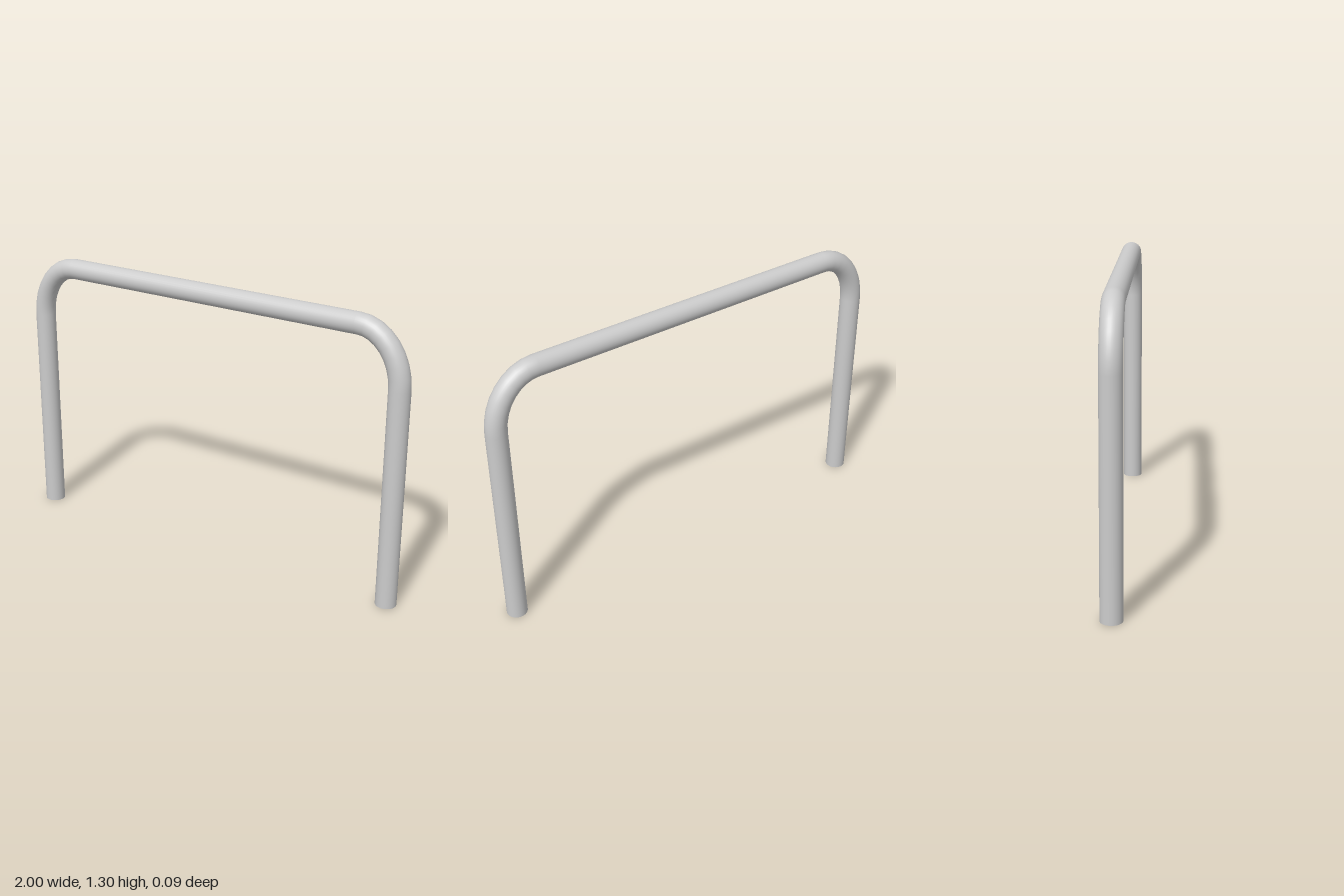
import * as THREE from 'three';

const R = 0.0475;                 // tube radius
const X = 1 - R, TOP = 1.3 - R;   // centre line of legs and crossbar
const BX = 0.2, BY = 0.25;        // width and height of each bend
const STEPS = 8;                  // segments per bend

// Centre line as stations: foot, left-to-right bends, foot
class FramePath extends THREE.Curve {
  constructor() {
    super();
    this.stations = [];
    const add = (x, y, tx, ty) => this.stations.push({
      p: new THREE.Vector3(x, y, 0), t: new THREE.Vector3(tx, ty, 0).normalize() });
    add(-X, 0, 0, 1);
    for (const side of [-1, 1]) {
      for (let i = 0; i <= STEPS; i++) {
        const k = side < 0 ? i : STEPS - i;
        const a = (k / STEPS) * Math.PI / 2, c = Math.cos(a), s = Math.sin(a);
        add(side * (X - BX + BX * c), TOP - BY + BY * s, BX * s, -side * BY * c);
      }
    }
    add(X, 0, 0, -1);
  }
  at(u) { return this.stations[Math.round(u * (this.stations.length - 1))]; }
  getPoint(u, target = new THREE.Vector3()) { return target.copy(this.at(u).p); }
  getPointAt(u, target) { return this.getPoint(u, target); }
  getTangent(u, target = new THREE.Vector3()) { return target.copy(this.at(u).t); }
  getTangentAt(u, target) { return this.getTangent(u, target); }
}

export function createModel() {
  const group = new THREE.Group();
  group.name = 'bentTubeFrame';
  const material = new THREE.MeshStandardMaterial({ color: 0xcccccc });

  // Legs, bends and crossbar in one continuous tube
  const path = new FramePath();
  const tube = new THREE.Mesh(
    new THREE.TubeGeometry(path, path.stations.length - 1, R, 32, false), material);
  tube.name = 'tubeFrame';
  group.add(tube);

  // Flat caps closing the feet
  for (const [name, side] of [['rightFootCap', -1], ['leftFootCap', 1]]) {
    const cap = new THREE.Mesh(new THREE.CircleGeometry(R, 32).rotateX(Math.PI / 2), material);
    cap.position.x = side * X;
    cap.name = name;
    group.add(cap);
  }
  return group;
}
